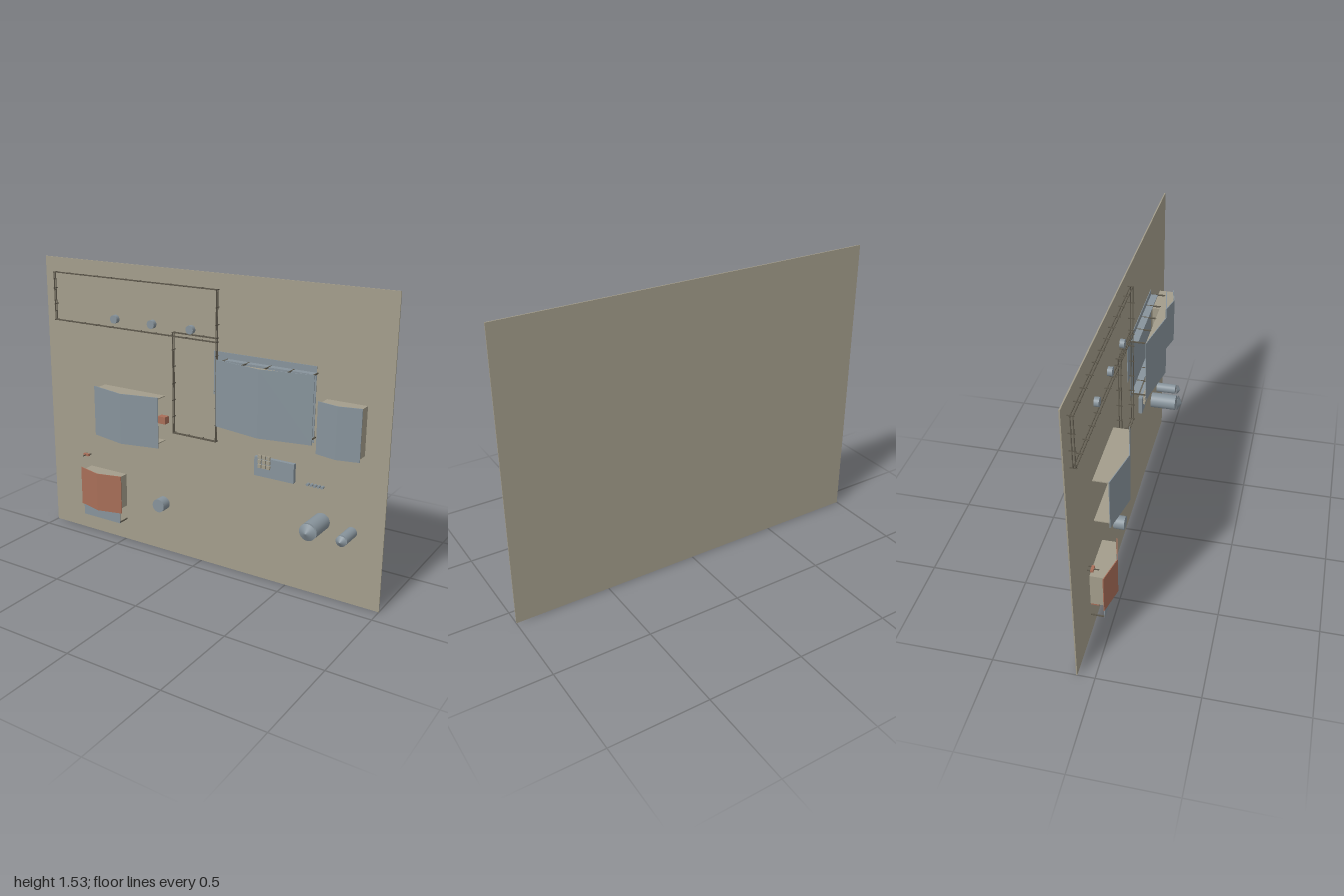
import * as THREE from 'three';

const mat = (name, color) => new THREE.MeshStandardMaterial({ name, color });

export function createModel() {
  const root = new THREE.Group();
  root.name = 'siteModel';
  const earth = mat('earth beige', 0xa39d8b);
  const steel = mat('steel grey', 0x87939b);
  const rust = mat('rust red', 0xa86e58);
  const dark = mat('fence taupe', 0x5c574b);
  const G = -0.085; // ground surface; buildings rise towards +z

  const add = (name, geo, m, parent = root) => {
    const mesh = new THREE.Mesh(geo, m);
    mesh.name = name;
    parent.add(mesh);
    return mesh;
  };
  const group = (name) => {
    const g = new THREE.Group();
    g.name = name;
    root.add(g);
    return g;
  };
  // Box given by its limits
  const box = (name, x0, x1, y0, y1, z0, z1, m, parent) =>
    add(name, new THREE.BoxGeometry(x1 - x0, y1 - y0, z1 - z0)
      .translate((x0 + x1) / 2, (y0 + y1) / 2, (z0 + z1) / 2), m, parent);
  // Section in (x, z) extruded along y
  const prism = (name, pts, y0, y1, m, parent) => {
    const shape = new THREE.Shape(pts.map(([x, z]) => new THREE.Vector2(x, -z)));
    const geo = new THREE.ExtrudeGeometry(shape, { depth: y1 - y0, bevelEnabled: false });
    return add(name, geo.rotateX(-Math.PI / 2).translate(0, y0, 0), m, parent);
  };
  // Cylinder or cone standing on the ground plate
  const drum = (name, x, y, r0, r1, z0, z1, m, parent) =>
    add(name, new THREE.CylinderGeometry(r1, r0, z1 - z0, 32)
      .rotateX(Math.PI / 2).translate(x, y, (z0 + z1) / 2), m, parent);

  // Thin pitched roof sheet with its ridge along y
  const roof = (x0, x1, y0, y1, eave, ridge, m, parent) => {
    const c = (x0 + x1) / 2, t = 0.004;
    prism('pitchedRoof', [[x0, eave], [c, ridge], [x1, eave],
      [x1, eave - t], [c, ridge - t], [x0, eave - t]], y0, y1, m, parent);
  };
  // Gable-ended wall body from z = base up to the roof
  const gable = (name, x0, x1, y0, y1, base, eave, ridge, parent) =>
    prism(name, [[x0, base], [x1, base], [x1, eave], [(x0 + x1) / 2, ridge], [x0, eave]],
      y0, y1, earth, parent);

  // Ground plate
  box('groundPlate', -1, 1, 0, 1.53, -0.091, G, earth);

  // Open-sided shed with gable end walls
  const shed = group('openShed');
  roof(-0.63, -0.218, 0.61, 0.882, -0.005, 0.041, steel, shed);
  for (const y of [0.628, 0.868])
    gable('endWall', -0.62, -0.228, y, y + 0.005, G, -0.008, 0.036, shed);
  box('machine', -0.25, -0.205, 0.73, 0.768, G, -0.05, rust, shed);

  // Large hall on posts with low walls at the ends
  const hall = group('largeHall');
  roof(0.13, 0.652, 0.795, 1.13, -0.003, 0.047, steel, hall);
  for (const y of [0.805, 1.115]) {
    gable('gablePanel', 0.14, 0.642, y, y + 0.005, -0.009, -0.007, 0.042, hall);
    box('lowWall', 0.15, 0.63, y, y + 0.005, G, -0.047, steel, hall);
    for (let i = 0; i < 5; i++) {
      const x = 0.15 + i * 0.12;
      box('post', x - 0.003, x + 0.003, y, y + 0.006, G, -0.006, dark, hall);
    }
  }
  box('pavingNorth', 0.07, 0.625, 0.93, 1.15, G, G + 0.003, steel, hall);
  box('pavingSouth', 0.13, 0.625, 0.78, 0.93, G, G + 0.003, steel, hall);

  // Closed side hall
  const side = group('sideHall');
  roof(0.672, 0.89, 0.757, 1.01, -0.008, 0.017, steel, side);
  gable('walls', 0.682, 0.882, 0.765, 1.003, G, -0.011, 0.012, side);

  // House with a rust roof and a front porch
  const house = group('house');
  roof(-0.75, -0.475, 0.18, 0.395, -0.014, 0.021, rust, house);
  gable('walls', -0.733, -0.49, 0.2, 0.385, G, -0.017, 0.016, house);
  box('porchRoof', -0.737, -0.487, 0.118, 0.2, -0.019, -0.015, steel, house);
  for (let i = 0; i < 4; i++) {
    const x = -0.732 + i * 0.08;
    box('porchPost', x - 0.003, x + 0.003, 0.119, 0.125, G, -0.018, dark, house);
  }
  for (const x of [-0.71, -0.62, -0.53])
    box('doorStep', x - 0.015, x + 0.015, 0.183, 0.201, G, -0.046, rust, house);

  // Silos with raised conical caps, then plain tanks
  const silos = group('silos');
  for (const [x, y, r, z, c0, c1] of [[0.683, 0.393, 0.043, 0.057, 0.068, 0.092],
    [0.84, 0.375, 0.027, 0.026, 0.036, 0.056]]) {
    drum('siloBody', x, y, r, r, G, z, steel, silos);
    drum('siloCap', x, y, r, 0, c0, c1, steel, silos);
  }
  drum('waterTank', -0.24, 0.275, 0.036, 0.036, G, -0.03, steel);
  for (const x of [-0.533, -0.298, -0.063])
    drum('yardTank', x, 1.24, 0.022, 0.022, G, -0.062, steel);

  // Storage block with a grid of crates, and a row of barrels
  const store = group('storage');
  box('storageBlock', 0.318, 0.535, 0.56, 0.658, G, -0.064, steel, store);
  for (let i = 0; i < 3; i++)
    for (let j = 0; j < 3; j++) {
      const x = 0.342 + i * 0.024, y = 0.606 + j * 0.024;
      box('crate', x, x + 0.018, y, y + 0.018, -0.064, -0.054, earth, store);
    }
  for (let i = 0; i < 5; i++)
    drum('barrel', 0.607 + i * 0.019, 0.57, 0.007, 0.007, G, -0.066, steel, store);

  // Small bench with an upright post
  const bench = group('bench');
  box('benchSeat', -0.766, -0.732, 0.448, 0.46, -0.07, -0.056, rust, bench);
  for (const x of [-0.764, -0.738])
    box('benchLeg', x, x + 0.004, 0.451, 0.456, G, -0.07, dark, bench);
  box('benchPost', -0.751, -0.747, 0.452, 0.456, -0.056, -0.032, dark, bench);

  // Rectangular fences: two rails on evenly spaced posts
  const fence = (name, x0, x1, y0, y1) => {
    const g = group(name), t = 0.002;
    const nx = Math.round((x1 - x0) / 0.09), ny = Math.round((y1 - y0) / 0.09);
    for (const z of [-0.072, -0.06]) {
      for (const y of [y0, y1]) box('rail', x0, x1, y - t, y + t, z - t, z + t, dark, g);
      for (const x of [x0, x1]) box('rail', x - t, x + t, y0, y1, z - t, z + t, dark, g);
    }
    const post = (x, y) => box('fencePost', x - t, x + t, y - t, y + t, G, -0.054, dark, g);
    for (let i = 0; i <= nx; i++)
      for (const y of [y0, y1]) post(x0 + (x1 - x0) * i / nx, y);
    for (let j = 1; j < ny; j++)
      for (const x of [x0, x1]) post(x, y0 + (y1 - y0) * j / ny);
  };
  fence('longYardFence', -0.925, 0.095, 1.197, 1.453);
  fence('tallYardFence', -0.16, 0.095, 0.69, 1.217);

  return root;
}
